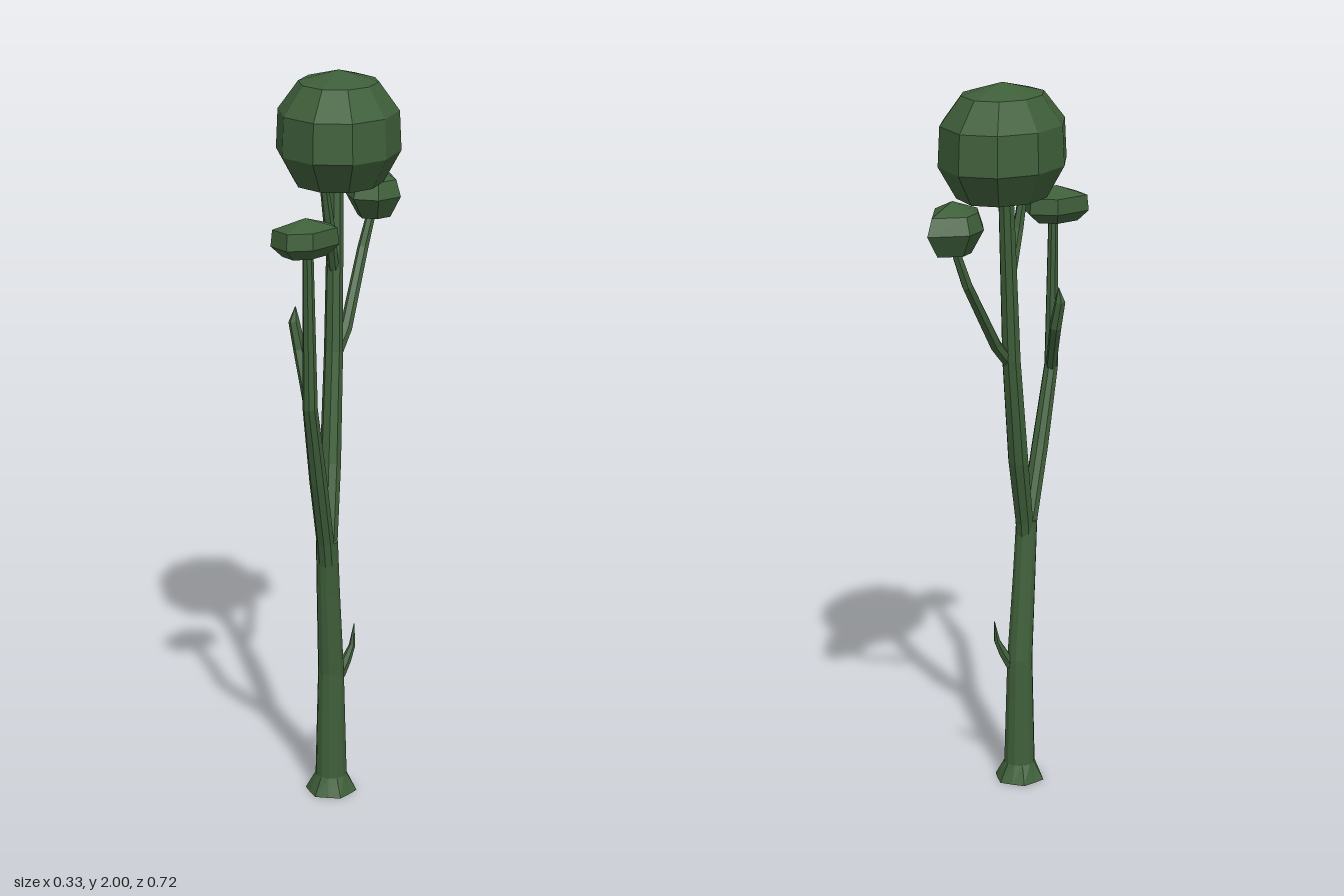
import * as THREE from 'three';

const material = new THREE.MeshStandardMaterial({ color: 0x3f5f3a, flatShading: true });

// Skin a list of equal-length rings, closing each end with a fan.
function skin(name, rings, bottom, top) {
  const n = rings[0].length;
  const pos = [...rings.flat(), bottom, top].flatMap((p) => [p.x, p.y, p.z]);
  const index = [];
  const last = (rings.length - 1) * n, b = rings.length * n, t = b + 1;
  for (let j = 0; j < n; j++) {
    const k = (j + 1) % n;
    for (let i = 0; i < last; i += n) {
      index.push(i + j, i + n + j, i + k, i + k, i + n + j, i + n + k);
    }
    index.push(b, j, k, t, last + k, last + j);
  }
  const geometry = new THREE.BufferGeometry();
  geometry.setAttribute('position', new THREE.Float32BufferAttribute(pos, 3));
  geometry.setIndex(index);
  geometry.computeVertexNormals();
  const mesh = new THREE.Mesh(geometry, material);
  mesh.name = name;
  return mesh;
}

// Tapering limb through stations [x, y, z, radius, ripple]
function limb(name, stations, sides = 8) {
  const up = new THREE.Vector3(0, 1, 0);
  const pts = stations.map((s) => new THREE.Vector3(s[0], s[1], s[2]));
  const rings = pts.map((p, i) => {
    const before = pts[Math.max(i - 1, 0)], after = pts[Math.min(i + 1, pts.length - 1)];
    const dir = after.clone().sub(before).normalize();
    const turn = new THREE.Quaternion().setFromUnitVectors(up, i ? dir : dir.lerp(up, 0.5).normalize());
    return Array.from({ length: sides }, (_, j) => {
      const a = (j / sides) * Math.PI * 2;
      const r = stations[i][3] * (j % 2 ? 1 - (stations[i][4] || 0) : 1);
      return new THREE.Vector3(Math.cos(a) * r, 0, Math.sin(a) * r).applyQuaternion(turn).add(p);
    });
  });
  return skin(name, rings, pts[0], pts[pts.length - 1]);
}

// Leaf clump: an [x, z] outline scaled about a centre at each level [y, scale]
function crown(name, [cx, cz], outline, levels, bottomY, topY) {
  const rings = levels.map(([y, s]) => outline.map(([x, z]) =>
    new THREE.Vector3(cx + (x - cx) * s, y, cz + (z - cz) * s)));
  return skin(name, rings, new THREE.Vector3(cx, bottomY, cz), new THREE.Vector3(cx, topY, cz));
}

export function createModel() {
  const tree = new THREE.Group();
  tree.name = 'tree';

  // Trunk with a rippled root flare
  tree.add(limb('trunk', [
    [0, 0, 0.072, 0.072, 0.12], [0, 0.05, 0.072, 0.044], [0, 0.36, 0.074, 0.036],
    [-0.003, 0.6, 0.102, 0.032], [-0.004, 0.755, 0.12, 0.03],
  ], 12));

  // Main fork
  tree.add(limb('frontLimb', [
    [-0.004, 0.69, 0.122, 0.024], [-0.006, 0.76, 0.138, 0.024], [-0.014, 0.95, 0.205, 0.024],
    [-0.025, 1.17, 0.27, 0.02], [-0.03, 1.6, 0.267, 0.014],
  ]));
  tree.add(limb('backLimb', [
    [-0.002, 0.69, 0.114, 0.024], [-0.003, 0.76, 0.102, 0.026], [-0.006, 0.95, 0.042, 0.029],
    [-0.006, 1.25, -0.016, 0.026], [-0.008, 1.74, -0.068, 0.021],
  ]));

  // Side branches off the back limb
  tree.add(limb('backBranch', [
    [0, 1.24, -0.018, 0.017], [0.02, 1.3, -0.07, 0.017], [0.045, 1.49, -0.218, 0.015],
    [0.07, 1.61, -0.258, 0.012],
  ], 6));
  tree.add(limb('upperBranch', [
    [-0.007, 1.45, -0.04, 0.015], [-0.012, 1.6, 0.02, 0.015], [-0.025, 1.74, 0.046, 0.011],
  ], 6));

  // Bare pointed twigs
  tree.add(limb('frontTwig', [
    [-0.026, 1.16, 0.265, 0.015], [-0.045, 1.23, 0.225, 0.016], [-0.066, 1.3, 0.18, 0.017],
    [-0.083, 1.375, 0.168, 0.015], [-0.08, 1.415, 0.163, 0.001],
  ], 6));
  tree.add(limb('trunkTwig', [
    [0.02, 0.34, 0.06, 0.017], [0.038, 0.38, 0.045, 0.014], [0.053, 0.42, 0.032, 0.009],
    [0.057, 0.48, 0.022, 0.001],
  ], 6));

  // Leaf clumps
  tree.add(crown('mainCrown', [0, -0.07], [
    [-0.068, -0.303], [0.035, -0.307], [0.135, -0.19], [0.167, -0.075], [0.145, 0.07],
    [0.07, 0.16], [-0.033, 0.165], [-0.127, 0.08], [-0.168, -0.065], [-0.148, -0.215],
  ], [[1.705, 0.72], [1.79, 1], [1.895, 0.97], [1.97, 0.64]], 1.695, 2));
  tree.add(crown('frontCrown', [-0.035, 0.276], [
    [-0.065, 0.2], [0.012, 0.19], [0.048, 0.25], [-0.005, 0.34], [-0.07, 0.36], [-0.12, 0.305],
  ], [[1.577, 0.66], [1.605, 1], [1.648, 0.95]], 1.572, 1.675));
  tree.add(crown('backCrown', [0.075, -0.245], [
    [0.1, -0.36], [0.152, -0.194], [0.1, -0.13], [0.03, -0.14], [-0.002, -0.22], [0.005, -0.305],
  ], [[1.58, 0.6], [1.64, 1], [1.685, 0.82]], 1.57, 1.715));

  return tree;
}
